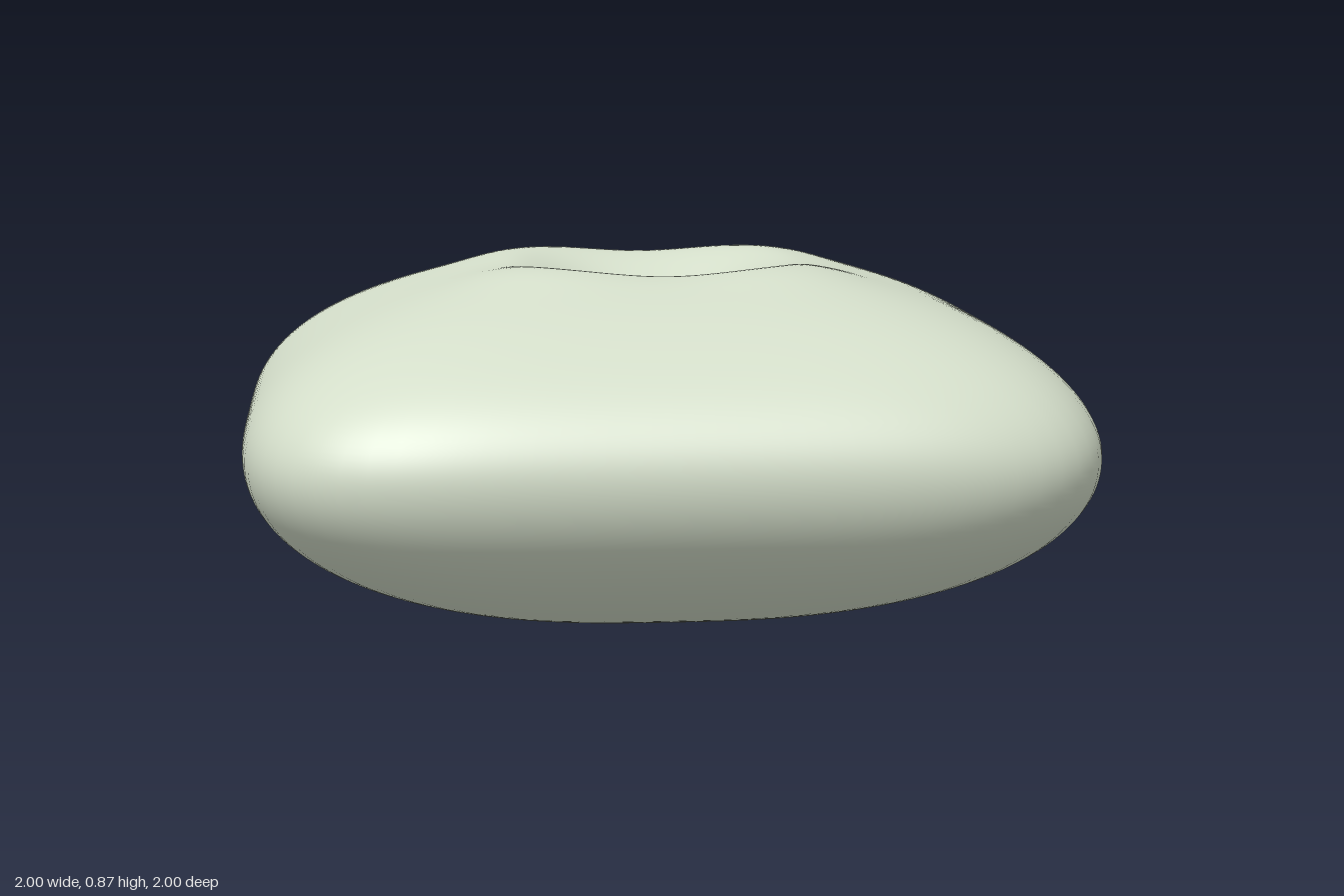
import * as THREE from 'three';
import { mergeVertices } from 'three/addons/utils/BufferGeometryUtils.js';

// Revolve a profile, then push every ring from a circle to a rounded square.
function squircleLathe(points, samples, segments, exponentAt, lift = () => 0) {
  const curve = new THREE.SplineCurve(points.map(([r, y]) => new THREE.Vector2(r, y)));
  const profile = curve.getPoints(samples);
  profile.forEach(p => { p.x = Math.max(p.x, 0); });
  profile[0].x = profile[samples].x = 0;
  let geo = new THREE.LatheGeometry(profile, segments);
  const pos = geo.attributes.position;
  for (let i = 0; i < pos.count; i++) {
    const x = pos.getX(i), y = pos.getY(i), z = pos.getZ(i);
    const r = Math.hypot(x, z);
    if (r < 1e-6) continue;
    const c = Math.abs(x / r), s = Math.abs(z / r), n = exponentAt(r);
    const k = Math.pow(Math.pow(c, n) + Math.pow(s, n), -1 / n);
    pos.setXYZ(i, x * k, y + lift(r, y) * 4 * c * c * s * s, z * k);
  }
  // Weld the seam so the normals stay smooth all round
  geo.deleteAttribute('uv');
  geo.deleteAttribute('normal');
  geo = mergeVertices(geo, 1e-5);
  geo.computeVertexNormals();
  return geo;
}

export function createModel() {
  const group = new THREE.Group();
  group.name = 'cushion';
  const fabric = new THREE.MeshStandardMaterial({ color: 0xd3ddc9 });

  // Padded body: elliptical underside and shoulder, then a tufted hollow on top
  const rim = 0.462, bodyProfile = [];
  for (let i = 0; i <= 12; i++) {
    const a = (i / 12 - 1) * Math.PI / 2;
    bodyProfile.push([Math.cos(a), rim + rim * Math.sin(a)]);
  }
  for (let i = 1; i <= 8; i++) {
    const a = i / 8 * 1.08;
    bodyProfile.push([Math.cos(a), rim + 0.428 * Math.sin(a)]);
  }
  bodyProfile.push([0.4, 0.853], [0.34, 0.857], [0.28, 0.843], [0.21, 0.813],
    [0.14, 0.78], [0.08, 0.752], [0.04, 0.739], [0, 0.735]);
  const body = new THREE.Mesh(
    squircleLathe(bodyProfile, 120, 128,
      r => 2.2 + 2.8 * Math.pow(r, 1.2),
      // slightly fuller towards the corners around the hollow
      (r, y) => (y > 0.6 ? 0.017 * Math.exp(-Math.pow((r - 0.38) / 0.13, 2)) : 0)),
    fabric);
  body.name = 'cushionBody';
  group.add(body);

  // Small flat button sitting in the hollow
  const buttonProfile = [
    [0, -0.02], [0.045, -0.016], [0.068, -0.009], [0.075, 0],
    [0.068, 0.009], [0.045, 0.016], [0, 0.02],
  ];
  const button = new THREE.Mesh(squircleLathe(buttonProfile, 24, 32, () => 2.5), fabric);
  button.name = 'button';
  button.position.y = 0.748;
  group.add(button);

  return group;
}
